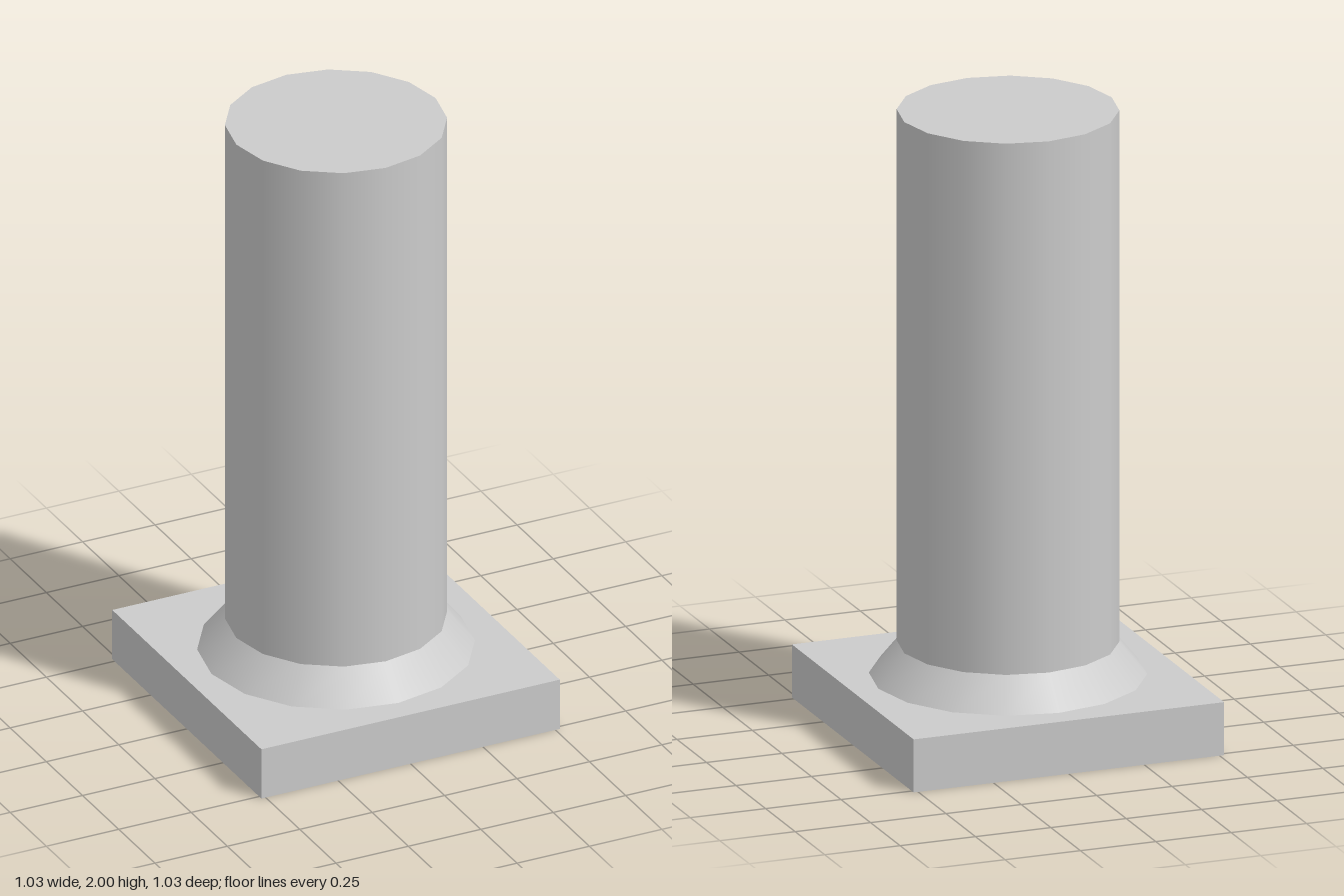
import * as THREE from 'three';

const SIDES = 16;
const BASE_TOP = 0.172;
const COLLAR_TOP = 0.277;
const HEIGHT = 2;

export function createModel() {
  const group = new THREE.Group();
  group.name = 'column';
  const material = new THREE.MeshStandardMaterial({ color: 0xcccccc });

  // Adds a part standing between two heights
  const add = (name, geometry, bottom, top) => {
    const mesh = new THREE.Mesh(geometry, material);
    mesh.name = name;
    mesh.position.y = (bottom + top) / 2;
    group.add(mesh);
  };
  const round = (rTop, rBottom, height, open) =>
    new THREE.CylinderGeometry(rTop, rBottom, height, SIDES, 1, open);

  // Square plinth
  add('plinth', new THREE.BoxGeometry(1.03, BASE_TOP, 1.03), 0, BASE_TOP);

  // Sloping collar between plinth and shaft
  add('collar', round(0.344, 0.43, COLLAR_TOP - BASE_TOP, true), BASE_TOP, COLLAR_TOP);

  // Straight shaft with a flat top
  add('shaft', round(0.344, 0.344, HEIGHT - COLLAR_TOP, false), COLLAR_TOP, HEIGHT);

  return group;
}
